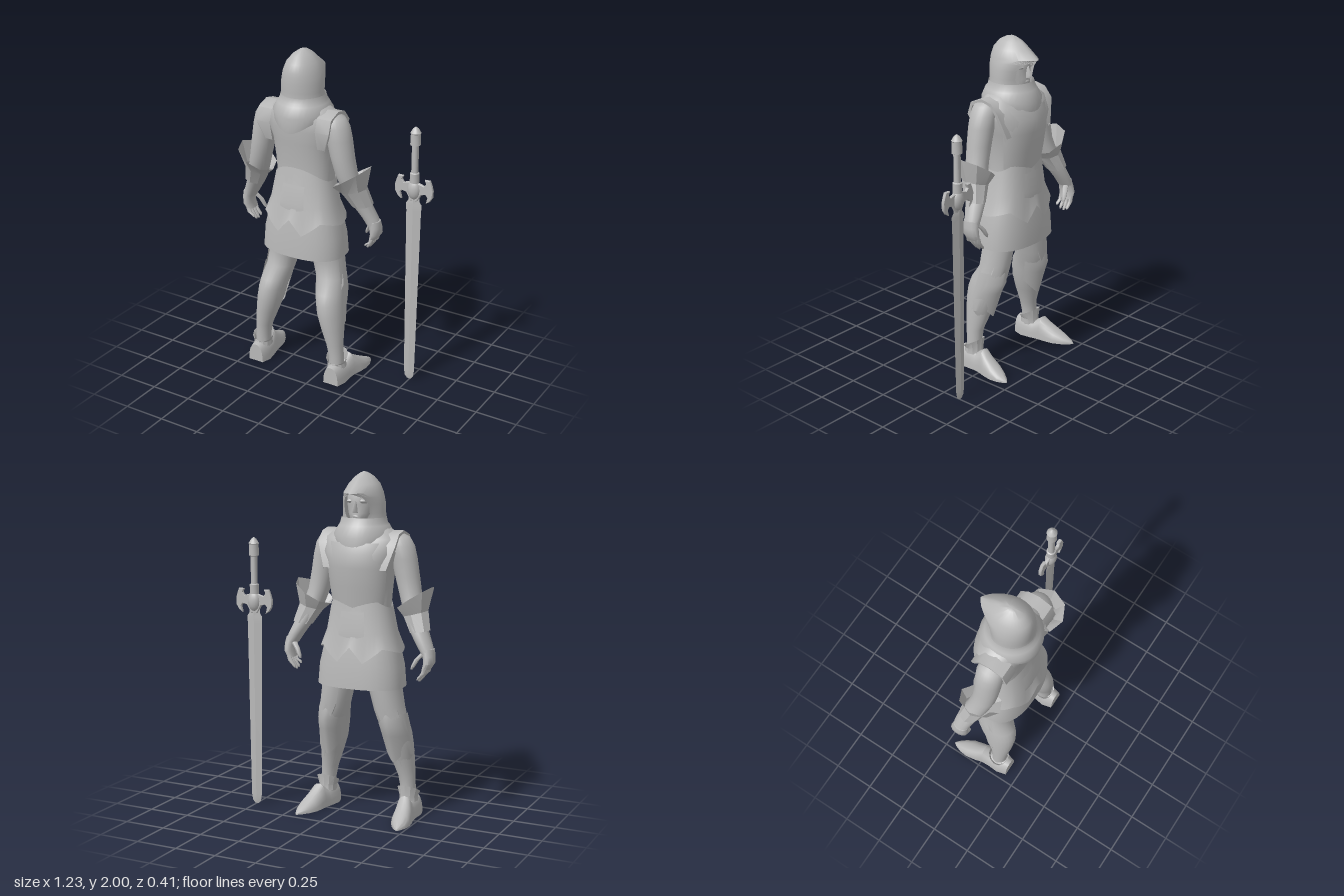
import * as THREE from 'three';
import { toCreasedNormals } from 'three/addons/utils/BufferGeometryUtils.js';

const steel = new THREE.MeshStandardMaterial({ color: 0xb8b8b8, side: THREE.DoubleSide });
steel.name = 'steel grey';

// Skin over rings [x, y, z, halfWidth, frontDepth, backDepth]; angle 0 is the front (-z).
// gap: half-angle left open at the front per ring; arc: [from, to]; dy: height offset by angle;
// ridge: 0..1 sharpness of the front keel; square: below 1 makes the section boxier.
function shell(rings, { seg = 24, gap, arc, dy, ridge = 0, square = 1, caps = true } = {}) {
  const pos = [], idx = [], W = seg + 1;
  const pw = v => Math.sign(v) * Math.abs(v) ** square;
  rings.forEach(([x, y, z, rx, rf, rb], i) => {
    const g = gap ? gap[i] : 0;
    const [a, b] = arc || [g, Math.PI * 2 - g];
    for (let j = 0; j <= seg; j++) {
      const t = a + (b - a) * j / seg, s = pw(Math.sin(t)), c = pw(Math.cos(t));
      const f = c > 0 ? (1 - ridge) * c + ridge * (1 - Math.abs(s)) : c;
      pos.push(x + rx * s, y + (dy ? dy(t, i) : 0), z - f * (c > 0 ? rf : rb));
    }
  });
  for (let i = 0; i < rings.length - 1; i++)
    for (let j = 0; j < seg; j++) {
      const p = i * W + j, q = p + W;
      idx.push(p, q, p + 1, p + 1, q, q + 1);
    }
  if (caps && !arc) [0, rings.length - 1].forEach((i, top) => {
    const m = pos.length / 3, [x, y, z] = rings[i];
    pos.push(x, y, z);
    for (let j = 0; j < seg; j++) {
      const p = i * W + j;
      top ? idx.push(m, p + 1, p) : idx.push(m, p, p + 1);
    }
  });
  const geo = new THREE.BufferGeometry();
  geo.setAttribute('position', new THREE.Float32BufferAttribute(pos, 3));
  geo.setIndex(idx);
  return geo;
}

function mirror(geo) {
  const m = geo.clone().scale(-1, 1, 1), a = m.index.array;
  for (let i = 0; i < a.length; i += 3) [a[i], a[i + 1]] = [a[i + 1], a[i]];
  return m;
}

function add(group, name, geo, crease = 0.8) {
  const mesh = new THREE.Mesh(toCreasedNormals(geo, crease), steel);
  mesh.name = name;
  group.add(mesh);
}

function pair(group, name, geo, crease) {
  add(group, name + 'Left', geo, crease);
  add(group, name + 'Right', mirror(geo), crease);
}

function buildHead(g) {
  add(g, 'face', shell([
    [0, 1.64, .02, .07, .06, .07], [0, 1.7, .0, .055, .06, .08], [0, 1.725, -.01, .05, .08, .08],
    [0, 1.77, 0, .072, .087, .09], [0, 1.82, 0, .08, .085, .09], [0, 1.86, 0, .08, .092, .09],
    [0, 1.92, .01, .055, .07, .08]]));
  add(g, 'nose', shell([[0, 1.775, -.08, .016, .032, .01], [0, 1.79, -.08, .014, .035, .01],
    [0, 1.84, -.08, .007, .013, .01]], { seg: 8 }));
  add(g, 'lips', shell([[0, 1.744, -.07, .022, .016, .01], [0, 1.753, -.07, .026, .022, .01],
    [0, 1.762, -.07, .022, .018, .01]], { seg: 10 }));
  pair(g, 'brow', shell([[.036, 1.828, -.06, .024, .018, .01], [.036, 1.838, -.062, .028, .026, .01],
    [.036, 1.85, -.06, .022, .022, .01]], { seg: 8 }));
  add(g, 'hood', shell([
    [0, 1.64, .03, .15, .15, .15], [0, 1.69, .03, .135, .13, .135], [0, 1.72, .03, .128, .12, .128],
    [0, 1.77, .03, .124, .13, .13], [0, 1.82, .03, .122, .15, .132], [0, 1.86, .03, .114, .175, .13],
    [0, 1.885, .03, .107, .19, .127], [0, 1.93, .03, .087, .125, .115], [0, 1.97, .03, .053, .075, .08],
    [0, 1.993, .03, .02, .03, .035], [0, 2, .03, .002, .002, .002]],
    { gap: [0, 0, .42, .66, .68, .5, 0, 0, 0, 0, 0], ridge: .3, caps: false, seg: 32 }), .9);
  // Draped collar with a point at chest and back
  add(g, 'hoodCollar', shell([
    [0, 1.62, .03, .17, .165, .165], [0, 1.655, .035, .172, .18, .17], [0, 1.7, .035, .145, .15, .15],
    [0, 1.715, .03, .135, .135, .14], [0, 1.745, .03, .128, .125, .135]],
    { dy: (t, i) => i > 1 ? 0 : -(i ? .02 : .075) * Math.abs(Math.cos(t)) ** 4, caps: false, seg: 32 }));
}

function buildTorso(g) {
  add(g, 'torso', shell([
    [0, .93, .01, .21, .14, .14], [0, 1.1, .01, .19, .12, .12], [0, 1.24, .01, .172, .12, .115],
    [0, 1.35, .01, .182, .14, .12], [0, 1.47, .01, .195, .155, .135], [0, 1.55, .01, .225, .155, .145],
    [0, 1.63, .02, .225, .12, .135], [0, 1.675, .03, .17, .09, .11], [0, 1.72, .03, .09, .07, .08]],
    { square: .85, seg: 32 }));
  add(g, 'breastplate', shell([
    [0, 1.26, .01, .175, .128, .1], [0, 1.36, .01, .188, .15, .1], [0, 1.47, .01, .2, .165, .1],
    [0, 1.55, .01, .21, .165, .1], [0, 1.61, .015, .2, .145, .1]],
    { arc: [-1.15, 1.15], square: .85, ridge: .08, dy: (t, i) => i ? 0 : -.05 * (1 - Math.abs(t) / 1.15) }));
  // Waist plates with a zigzag hem
  const hem = t => {
    const a = Math.abs(Math.asin(Math.sin(t)));
    return a < .25 ? .03 - .36 * a : a < .8 ? -.06 + .16 * (a - .25) : .028 - .05 * (a - .8);
  };
  add(g, 'waistPlates', shell([
    [0, .99, .015, .246, .178, .186], [0, 1.1, .015, .208, .15, .152], [0, 1.24, .012, .18, .128, .122]],
    { square: .85, seg: 48, caps: false,
      dy: (t, i) => i === 0 ? hem(t) : i === 2 ? .08 * Math.abs(Math.cos(t)) ** 2 : 0 }));
  for (const [name, mid] of [['frontBuckle', 0], ['backBuckle', Math.PI]])
    add(g, name, shell([[0, 1.09, .015, .216, .158, .16], [0, 1.11, .015, .21, .156, .158],
      [0, 1.22, .015, .192, .14, .134]],
      { arc: [mid - .32, mid + .32], seg: 6, square: .85,
        dy: (t, i) => i ? 0 : -.02 * Math.cos((t - mid) * 4) }));
  add(g, 'skirt', shell([
    [0, .78, .013, .26, .173, .175], [0, .9, .013, .25, .168, .17], [0, 1.02, .013, .222, .15, .155]],
    { square: .8, seg: 32, caps: false }));
}

function buildArms(g) {
  pair(g, 'arm', shell([
    [.43, 1.0, -.035, .038, .05, .045], [.405, 1.05, -.03, .046, .052, .05], [.36, 1.13, -.01, .055, .06, .06],
    [.32, 1.22, .02, .062, .062, .065], [.288, 1.32, .04, .064, .066, .07], [.265, 1.42, .045, .07, .07, .074],
    [.245, 1.52, .045, .074, .075, .078], [.228, 1.59, .045, .074, .076, .078],
    [.21, 1.64, .045, .062, .062, .066], [.19, 1.665, .045, .03, .03, .03]]));
  // Flared elbow cuff
  pair(g, 'elbowCuff', shell([
    [.37, 1.12, -.01, .06, .065, .062], [.33, 1.215, .02, .075, .075, .075], [.32, 1.3, .035, .107, .125, .125]],
    { seg: 8, caps: false, dy: (t, i) => [.01, .02, .07][i] * Math.sin(t) }), .3);
  // Shoulder strap arching over the arm
  const arch = [[.13, 1.46], [.155, 1.57], [.13, 1.645], [.05, 1.675], [-.02, 1.66], [-.07, 1.6], [-.1, 1.46]];
  const pos = [], idx = [];
  arch.forEach(([z, y], i) => {
    const low = y < 1.5;
    pos.push(.15, y, z, low ? .195 : .24, y, z, low ? .195 : .238, y - .02, z * .9 + .004);
    if (i) for (const k of [0, 1]) {
      const p = i * 3 + k;
      idx.push(p - 3, p - 2, p, p - 2, p + 1, p);
    }
  });
  const strap = new THREE.BufferGeometry();
  strap.setAttribute('position', new THREE.Float32BufferAttribute(pos, 3));
  strap.setIndex(idx);
  pair(g, 'shoulderStrap', strap);
  // Hand, four fingers and thumb
  pair(g, 'palm', shell([[.425, .915, -.045, .022, .05, .046], [.44, .95, -.042, .03, .056, .052],
    [.437, .99, -.037, .034, .052, .048], [.425, 1.03, -.034, .04, .046, .046]], { seg: 14 }));
  for (let k = 0; k < 4; k++) {
    const z = -.085 + k * .025, end = [.855, .845, .85, .868][k];
    pair(g, 'finger' + (k + 1), shell([[.388, end, z, .006, .006, .006], [.395, end + .012, z, .011, .011, .011],
      [.42, .895, z, .014, .012, .012], [.43, .93, z, .014, .012, .012]], { seg: 8 }));
  }
  pair(g, 'thumb', shell([[.352, .915, -.085, .006, .007, .007], [.358, .93, -.084, .012, .012, .012],
    [.378, .97, -.075, .015, .015, .015], [.415, 1.01, -.055, .018, .018, .018]], { seg: 8 }));
}

function buildLegs(g) {
  pair(g, 'leg', shell([
    [.262, .08, .1, .045, .05, .045], [.26, .16, .1, .044, .05, .045], [.25, .24, .1, .05, .055, .055],
    [.23, .34, .09, .066, .08, .08], [.212, .43, .08, .078, .095, .097], [.202, .5, .07, .08, .11, .103],
    [.19, .56, .05, .083, .12, .105], [.172, .64, .02, .087, .1, .085], [.15, .74, .015, .091, .1, .085],
    [.13, .84, .015, .095, .11, .1], [.115, .95, .015, .1, .11, .11]]));
  // Knee and thigh plates
  pair(g, 'kneePlate', shell([
    [.212, .43, .08, .086, .09, .1], [.204, .5, .06, .088, .12, .1], [.196, .56, .045, .09, .13, .1],
    [.184, .63, .03, .092, .11, .1]],
    { arc: [-1.3, 1.7], ridge: .15, dy: (t, i) => i === 0 ? -.1 * Math.max(0, 1 - Math.abs(t) / 1.1) : 0 }));
  pair(g, 'shinPlate', shell([
    [.24, .29, .095, .065, .068, .07], [.224, .38, .085, .08, .09, .09], [.208, .47, .07, .086, .105, .1]],
    { arc: [-.9, 1.5], ridge: .1, dy: (t, i) => i ? 0 : .09 * Math.abs(t - .2) }));
  pair(g, 'thighPlate', shell([
    [.184, .6, .03, .091, .107, .1], [.168, .67, .02, .092, .107, .095], [.148, .78, .015, .097, .108, .095]],
    { arc: [-.5, 1.9], seg: 10, dy: (t, i) => i ? 0 : .02 * Math.sin(t * 9) }), .4);
  // Pointed shoe, laid out along its length with a flat sole
  pair(g, 'shoe', shell([
    [.268, -.18, 0, .05, 0, .11], [.268, -.12, 0, .066, 0, .125], [.272, -.05, 0, .058, 0, .105],
    [.28, 0, 0, .054, 0, .14], [.288, .04, 0, .058, 0, .105], [.298, .1, 0, .058, 0, .068],
    [.308, .15, 0, .043, 0, .04], [.316, .19, 0, .02, 0, .02], [.32, .208, 0, .003, 0, .006]],
    { square: .85 }).rotateX(-Math.PI / 2), .6);
  pair(g, 'ankleCuff', shell([
    [.265, .09, .1, .056, .065, .055], [.264, .12, .1, .054, .06, .053], [.264, .155, .1, .068, .065, .055]],
    { seg: 12, caps: false, dy: (t, i) => i === 2 ? .035 * Math.cos(t) : 0 }), .4);
}

function buildSword() {
  const g = new THREE.Group();
  g.name = 'sword';
  add(g, 'blade', shell([
    [0, .003, 0, .012, .003, .003], [0, .02, 0, .027, .006, .006], [0, .06, 0, .034, .008, .008],
    [0, .6, 0, .041, .01, .01], [0, 1.1, 0, .047, .012, .012], [0, 1.145, 0, .05, .012, .012],
    [0, 1.165, 0, .036, .012, .012], [0, 1.2, 0, .034, .012, .012]], { seg: 4 }), .25);
  add(g, 'gripAndPommel', new THREE.LatheGeometry([[0, 1.28], [.027, 1.28], [.027, 1.335], [.02, 1.34],
    [.02, 1.5], [.03, 1.505], [.028, 1.57], [.031, 1.575], [.016, 1.6], [0, 1.612]]
    .map(p => new THREE.Vector2(...p)), 16), .5);
  const half = [[.03, 1.275], [.065, 1.265], [.08, 1.285], [.07, 1.305], [.098, 1.305], [.108, 1.28],
    [.117, 1.25], [.115, 1.21], [.1, 1.185], [.08, 1.17], [.09, 1.205], [.075, 1.222], [.045, 1.215], [.02, 1.17]];
  const outline = [...half, ...half.map(([x, y]) => [-x, y]).reverse()].map(p => new THREE.Vector2(...p));
  add(g, 'crossguard', new THREE.ExtrudeGeometry(new THREE.Shape(outline),
    { depth: .012, bevelSize: .003, bevelThickness: .004, bevelSegments: 1 }).translate(0, 0, -.006), .5);
  add(g, 'guardBoss', new THREE.SphereGeometry(1, 16, 12).scale(.04, .06, .033).translate(0, 1.235, 0));
  g.position.set(.495, 0, -.122);
  return g;
}

export function createModel() {
  const model = new THREE.Group();
  model.name = 'armouredFigure';
  const body = new THREE.Group();
  body.name = 'figure';
  body.position.x = -.14;
  [buildHead, buildTorso, buildArms, buildLegs].forEach(build => build(body));
  model.add(body, buildSword());
  return model;
}
